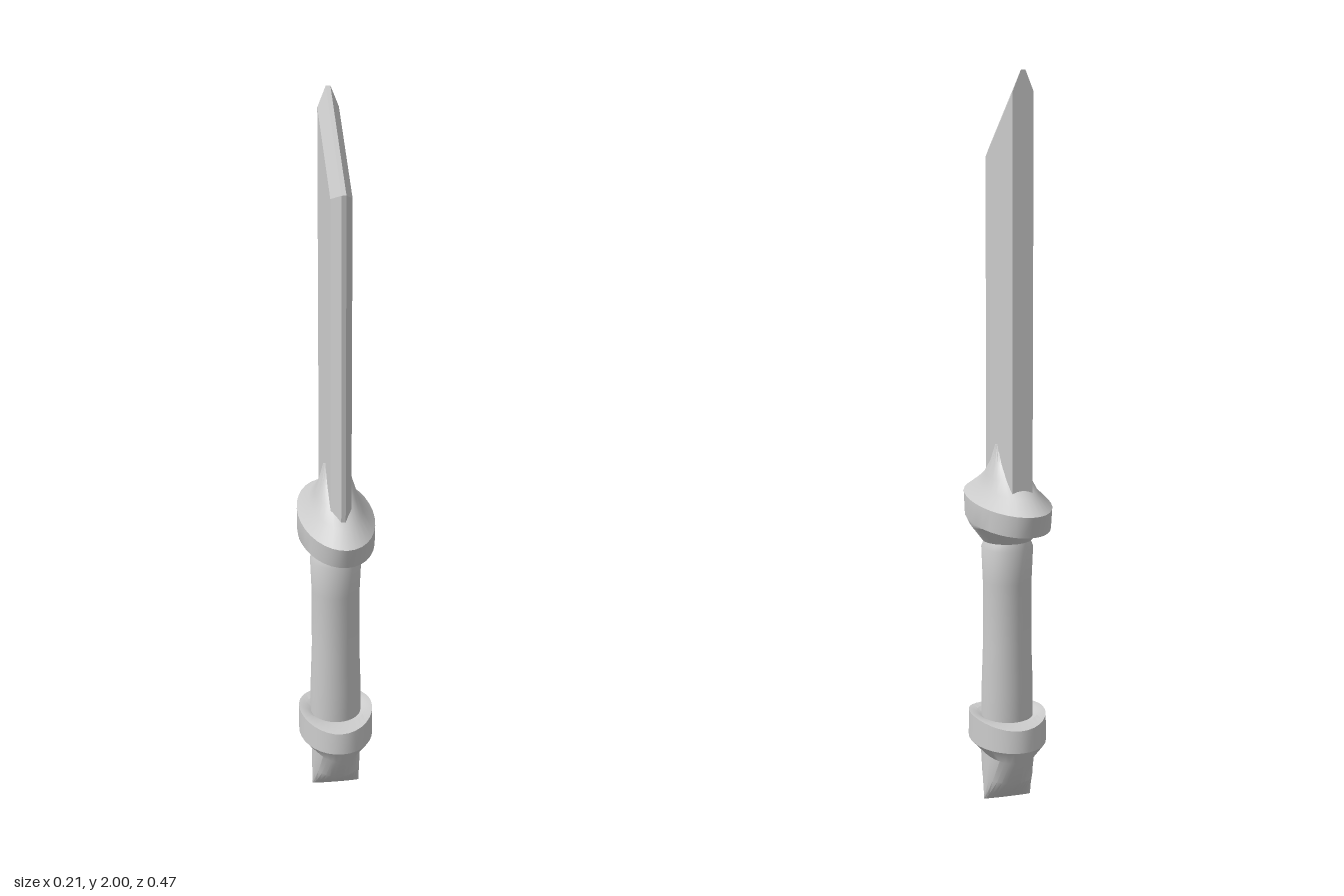
import * as THREE from 'three';
import { toCreasedNormals } from 'three/addons/utils/BufferGeometryUtils.js';

const material = new THREE.MeshStandardMaterial({ color: 0xcccccc });

// Skin a list of equal-length point rings and close both ends.
function loft(name, rings, crease) {
  const centre = (ring) => {
    const c = new THREE.Vector3();
    ring.forEach((p) => c.addScaledVector(p, 1 / ring.length));
    return c;
  };
  const n = rings[0].length;
  const points = [];
  const tri = (...corners) => corners.forEach((p) => points.push(p.x, p.y, p.z));
  const first = rings[0], last = rings[rings.length - 1];
  const c0 = centre(first), c1 = centre(last);
  for (let j = 0; j < n; j++) {
    const k = (j + 1) % n;
    for (let i = 0; i < rings.length - 1; i++) {
      const a = rings[i], b = rings[i + 1];
      tri(a[j], b[j], a[k]);
      tri(b[j], b[k], a[k]);
    }
    tri(c0, first[j], first[k]);
    tri(c1, last[k], last[j]);
  }
  const geometry = new THREE.BufferGeometry();
  geometry.setAttribute('position', new THREE.Float32BufferAttribute(points, 3));
  const mesh = new THREE.Mesh(toCreasedNormals(geometry, crease), material);
  mesh.name = name;
  return mesh;
}

// Horizontal ellipse; lift raises it towards its left and right ends.
function ellipse([y, rx, rz, lift = 0], sides = 32) {
  return Array.from({ length: sides }, (_, i) => {
    const a = (i / sides) * Math.PI * 2;
    return new THREE.Vector3(rx * Math.cos(a), y + lift * Math.cos(a) ** 2, rz * Math.sin(a));
  });
}

const turned = (name, sections) => loft(name, sections.map((s) => ellipse(s)), 0.5);

export function createModel() {
  const group = new THREE.Group();

  // Slab blade, bevelled on the front edge and the slanted tip
  const edge = [[0.15, 0.82], [0.15, 1.79], [-0.137, 2], [-0.137, 0.82]];
  const face = [[0.105, 0.82], [0.105, 1.77], [-0.137, 1.945], [-0.137, 0.82]];
  const slice = (x, outline) => outline.map(([z, y]) => new THREE.Vector3(x, y, z));
  group.add(loft('blade', [
    slice(-0.028, face), slice(-0.006, edge), slice(0.006, edge), slice(0.028, face),
  ], 0.1));

  // Oval guard that sweeps up to a ridge beside the blade
  group.add(turned('guard', [
    [0.745, 0.068, 0.065],
    [0.787, 0.1, 0.1],
    [0.8, 0.103, 0.216],
    [0.86, 0.103, 0.235],
    [0.893, 0.07, 0.17],
    [0.925, 0.057, 0.105],
    [0.963, 0.045, 0.052],
    [1.01, 0.034, 0.006],
  ]));

  // Grip with a slight waist
  group.add(turned('grip', [
    [0.2, 0.071, 0.071],
    [0.33, 0.071, 0.071],
    [0.45, 0.067, 0.067],
    [0.63, 0.067, 0.067],
    [0.725, 0.071, 0.071],
    [0.742, 0.064, 0.064],
    [0.76, 0.06, 0.06],
  ]));

  // Pommel: banded collar above a wedge that ends in an edge along x
  group.add(turned('pommel', [
    [0, 0.068, 0.004],
    [0.018, 0.068, 0.027],
    [0.07, 0.068, 0.088],
    [0.14, 0.068, 0.122],
    [0.177, 0.104, 0.14],
    [0.238, 0.104, 0.132, 0.017],
    [0.246, 0.085, 0.09, 0.006],
    [0.24, 0.066, 0.066],
  ]));

  return group;
}
